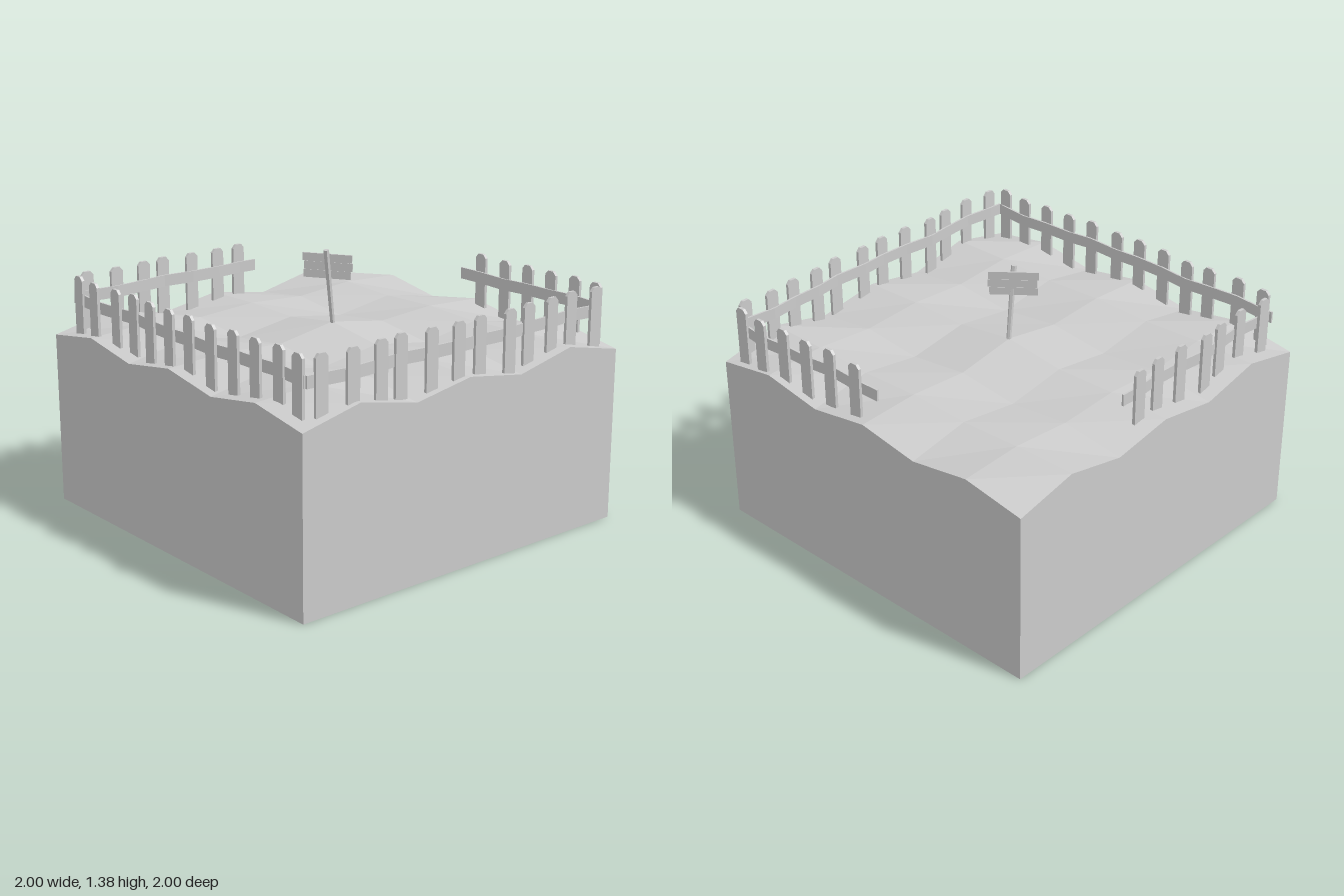
import * as THREE from 'three';

const material = new THREE.MeshStandardMaterial({ color: 0xcccccc, flatShading: true });

function addMesh(parent, geometry, name) {
  const mesh = new THREE.Mesh(geometry, material);
  mesh.name = name;
  parent.add(mesh);
  return mesh;
}

// Ground heights on a 7 x 7 grid: half rows from the centre outwards, mirrored in x and z
const HEIGHTS = [
  [1.0, 0.955, 0.96, 0.95],
  [0.945, 0.905, 0.94, 0.895],
  [0.967, 0.955, 0.967, 0.967],
  [0.95, 0.895, 0.95, 0.895],
];

function createGround() {
  const geometry = new THREE.BoxGeometry(2, 1, 2, 6, 1, 6).translate(0, 0.5, 0);
  const p = geometry.attributes.position;
  for (let i = 0; i < p.count; i++) {
    if (p.getY(i) < 0.5) continue;
    const col = Math.round(Math.abs(p.getX(i)) * 3);
    const row = Math.round(Math.abs(p.getZ(i)) * 3);
    p.setY(i, HEIGHTS[row][col]);
  }
  const faceted = geometry.toNonIndexed();
  faceted.computeVertexNormals();
  return faceted;
}

// Fence line as [position along, sideways position]; a picket stands at each point
const LINE = [
  [-0.855, 0.925], [-0.69, 0.943], [-0.515, 0.93], [-0.385, 0.915],
  [-0.215, 0.935], [-0.05, 0.94], [0.095, 0.93], [0.28, 0.94],
  [0.425, 0.92], [0.585, 0.918], [0.735, 0.903], [0.89, 0.92],
];

// Upright board with clipped top corners
function picketGeometry() {
  const w = 0.035, top = 1.22, shoulder = 1.2;
  const shape = new THREE.Shape([
    [-w, 0.9], [w, 0.9], [w, shoulder], [0.017, top], [-0.017, top], [-w, shoulder],
  ].map(([x, y]) => new THREE.Vector2(x, y)));
  return new THREE.ExtrudeGeometry(shape, { depth: 0.016, bevelEnabled: false }).translate(0, 0, -0.008);
}

// Thin wavy rail that follows the fence line
function railGeometry(points) {
  const half = 0.005;
  const outline = [
    ...points.map(([t, d]) => new THREE.Vector2(t, -d - half)),
    ...[...points].reverse().map(([t, d]) => new THREE.Vector2(t, -d + half)),
  ];
  return new THREE.ExtrudeGeometry(new THREE.Shape(outline), { depth: 0.06, bevelEnabled: false })
    .rotateX(-Math.PI / 2)
    .translate(0, 1.065, 0);
}

// One fence run; side is +1 or -1 for the face of the rail that carries the pickets
function createFence(name, from, to, side) {
  const fence = new THREE.Group();
  fence.name = name;
  const points = LINE.slice(from, to);
  const start = from === 0 ? [-0.925, 0.922] : [-0.04, 0.933];
  const end = to === LINE.length ? [0.93, 0.927] : [0.195, 0.935];
  addMesh(fence, railGeometry([start, ...points, end]), 'rail');
  const picket = picketGeometry();
  for (const [t, d] of points) {
    addMesh(fence, picket, 'picket').position.set(t, 0, d + side * 0.012);
  }
  return fence;
}

function createSign() {
  const sign = new THREE.Group();
  sign.name = 'sign';

  // Leaning post
  const base = new THREE.Vector3(0.003, 0.95, -0.005);
  const tip = new THREE.Vector3(0.02, 1.38, 0.055);
  const axis = tip.clone().sub(base);
  const post = addMesh(sign, new THREE.CylinderGeometry(0.015, 0.012, axis.length(), 6), 'signPost');
  post.position.copy(base).add(tip).multiplyScalar(0.5);
  post.quaternion.setFromUnitVectors(new THREE.Vector3(0, 1, 0), axis.normalize());

  // Board of three uneven planks
  const board = new THREE.Group();
  board.name = 'signBoard';
  board.position.set(0.008, 1.293, 0.035);
  board.rotation.set(0, 0.655, -0.02);
  [[0.25, -0.003, 0.042], [0.245, 0.003, 0], [0.24, -0.002, -0.042]].forEach(([length, x, y]) => {
    addMesh(board, new THREE.BoxGeometry(length, 0.04, 0.01), 'signPlank').position.set(x, y, 0);
  });
  addMesh(board, new THREE.BoxGeometry(0.225, 0.12, 0.006), 'boardBacking');
  sign.add(board);
  return sign;
}

export function createModel() {
  const model = new THREE.Group();
  model.name = 'fencedGround';
  addMesh(model, createGround(), 'ground');

  // Full runs at the front and right, broken runs at the back and left
  const front = createFence('frontFence', 0, 12, 1);
  const back = createFence('backFence', 6, 12, -1);
  back.position.z = -1.865;
  const sideA = createFence('leftFence', 0, 12, 1);
  sideA.rotation.y = Math.PI / 2;
  sideA.position.x = 0.015;
  const sideB = createFence('rightFence', 0, 7, -1);
  sideB.rotation.y = Math.PI / 2;
  sideB.position.x = -1.828;

  model.add(front, back, sideA, sideB, createSign());
  return model;
}
